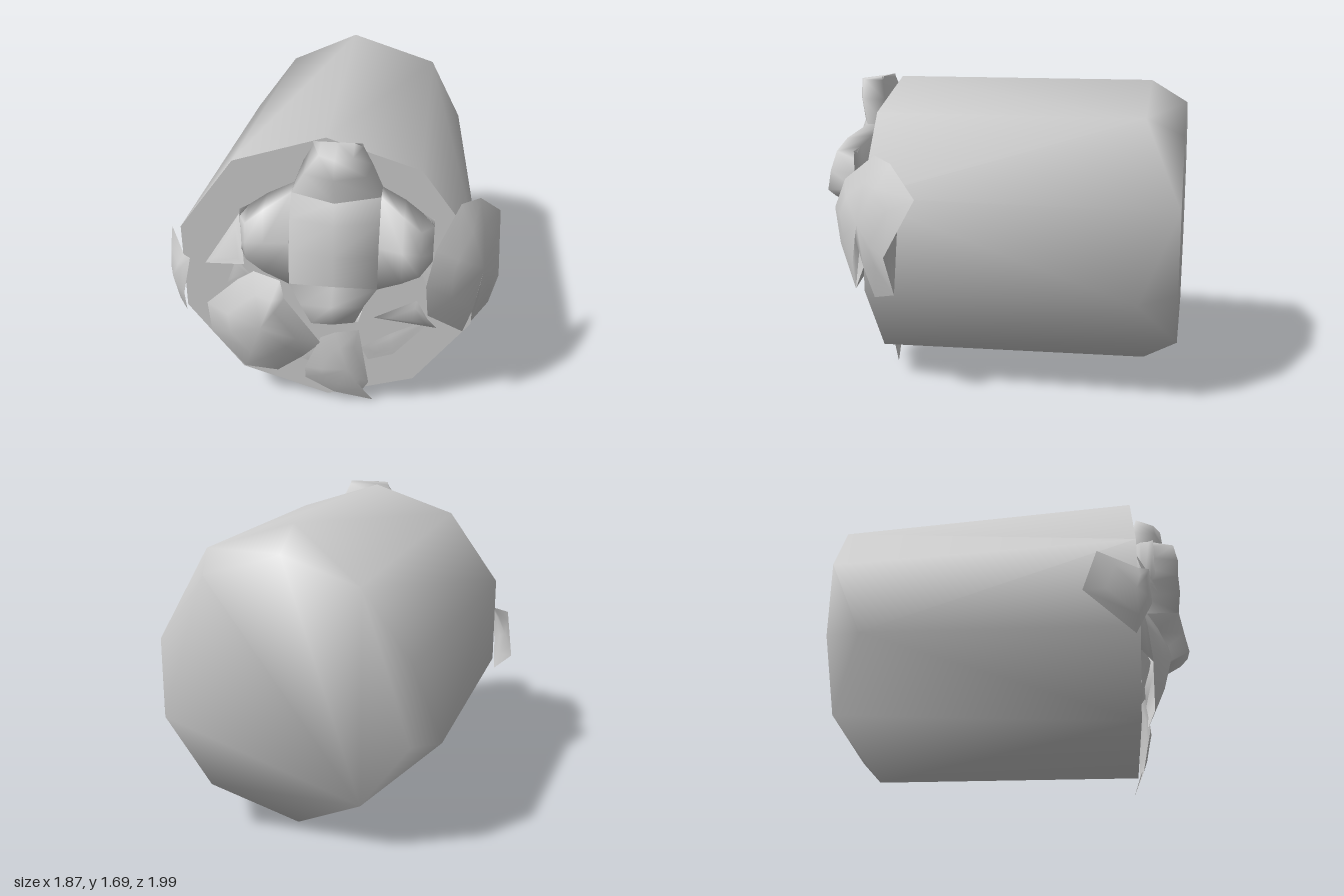
import * as THREE from 'three';
import { ConvexGeometry } from 'three/addons/geometries/ConvexGeometry.js';
import { toCreasedNormals } from 'three/addons/utils/BufferGeometryUtils.js';

const solid = new THREE.MeshStandardMaterial({ color: 0xcccccc });
const thin = new THREE.MeshStandardMaterial({ color: 0xcccccc, side: THREE.DoubleSide });

function addMesh(group, name, geometry, material) {
  const mesh = new THREE.Mesh(geometry, material);
  mesh.name = name;
  group.add(mesh);
}

function indexed(points, index) {
  const g = new THREE.BufferGeometry();
  g.setAttribute('position', new THREE.Float32BufferAttribute(points.flat(), 3));
  g.setIndex(index);
  g.computeVertexNormals();
  return g;
}

// Corners of a ten-sided ring, numbered anticlockwise from the top
function ring(radius, z, corners = [0, 1, 2, 3, 4, 5, 6, 7, 8, 9]) {
  return corners.map((i) => {
    const a = Math.PI / 2 + (i / 10) * Math.PI * 2;
    return new THREE.Vector3(0.01 + Math.cos(a) * radius, 0.86 + Math.sin(a) * radius, z);
  });
}

// Ten-sided trunk with an unevenly worn back end and a sharp front edge
function trunkGeometry() {
  const hull = new ConvexGeometry([
    ...ring(0.825, 0.655),
    ...ring(0.825, -0.8, [0, 3, 5, 7, 9]),
    ...ring(0.705, -1, [0, 1, 2, 3, 4, 6, 7, 8, 9]),
  ]);
  return toCreasedNormals(hull, 1.55);
}

// Domed leaf: raised middle, an inner ring pushed outward, then the rim
function leafGeometry(middle, rim, push = [0, 0, 0]) {
  const n = rim.length;
  const inner = rim.map((p) => p.map((v, k) => middle[k] + 0.6 * (v - middle[k]) + push[k]));
  const index = [];
  for (let i = 0; i < n; i++) {
    const a = 1 + i, b = 1 + ((i + 1) % n);
    index.push(0, a, b, a, a + n, b, b, a + n, b + n);
  }
  return indexed([middle, ...inner, ...rim], index);
}

// Closed petal from rows [along, from, to, three front depths, back depth, inset];
// sideways petals run along x, the others along y
function petalGeometry(rows, sideways) {
  const points = rows.flatMap(([u, a, b, z1, z2, z3, back, inset = 0]) =>
    [[a, back], [a + inset, z1], [(a + b) / 2, z2], [b - inset, z3], [b, back]]
      .map(([w, z]) => (sideways ? [u, w, z] : [w, u, z])));
  const index = [];
  for (let r = 0; r < rows.length - 1; r++) {
    for (let c = 0; c < 5; c++) {
      const a = r * 5 + c, b = r * 5 + ((c + 1) % 5);
      index.push(a, b, a + 5, b, b + 5, a + 5);
    }
  }
  return indexed(points, index);
}

export function createModel() {
  const model = new THREE.Group();
  addMesh(model, 'trunk', trunkGeometry(), solid);

  // Blossom: middle and four tapering petals
  const blossom = new THREE.Group();
  blossom.name = 'blossom';
  model.add(blossom);
  const L = -0.15, R = 0.3, B = 0.985, T = 1.435;
  const petals = {
    blossomMiddle: [false, [
      [T, L, R, 0.78, 0.87, 0.78, 0.67], [1.33, L, R, 0.86, 0.91, 0.86, 0.68],
      [1.16, L, R, 0.91, 0.935, 0.91, 0.7], [B, L, R, 0.93, 0.935, 0.93, 0.72]]],
    topPetal: [false, [
      [T, L, R, 0.78, 0.87, 0.78, 0.67], [1.57, -0.1, 0.25, 0.83, 0.89, 0.83, 0.69, 0.02],
      [1.675, -0.045, 0.205, 0.83, 0.88, 0.84, 0.715, 0.04],
      [1.695, -0.045, 0.2, 0.72, 0.72, 0.72, 0.72, 0.04]]],
    bottomPetal: [false, [
      [B, L, R, 0.93, 0.935, 0.93, 0.72], [0.88, -0.11, 0.25, 0.96, 0.97, 0.95, 0.78, 0.02],
      [0.79, -0.06, 0.22, 0.99, 0.99, 0.96, 0.84, 0.03],
      [0.72, -0.045, 0.2, 0.86, 0.86, 0.86, 0.86, 0.04]]],
    rightPetal: [true, [
      [L, B, T, 0.93, 0.9, 0.78, 0.67], [-0.28, 1.03, 1.39, 0.93, 0.92, 0.86, 0.72, 0.02],
      [-0.37, 1.08, 1.34, 0.915, 0.92, 0.9, 0.76, 0.03],
      [-0.42, 1.08, 1.32, 0.78, 0.78, 0.78, 0.78, 0.04]]],
    leftPetal: [true, [
      [R, B, T, 0.93, 0.9, 0.78, 0.67], [0.42, 1.02, 1.39, 0.945, 0.93, 0.86, 0.71, 0.02],
      [0.51, 1.06, 1.34, 0.95, 0.93, 0.89, 0.75, 0.03],
      [0.57, 1.07, 1.32, 0.77, 0.77, 0.77, 0.77, 0.04]]],
  };
  for (const [name, [sideways, rows]] of Object.entries(petals)) {
    addMesh(blossom, name, petalGeometry(rows, sideways), thin);
  }

  // Leaves around the rim and over the front end: middle, rim, outward push
  const largeRim = [
    [0.7, 1.325, 0.61], [0.585, 1.17, 0.82], [0.545, 1, 0.9], [0.56, 0.8, 0.87],
    [0.75, 0.6, 0.72], [0.8, 0.86, 0.67], [0.79, 0.57, 0.6], [0.89, 0.62, 0.46],
    [0.93, 0.83, 0.5], [0.92, 1.14, 0.33], [0.8, 1.3, 0.49]];
  const leaves = {
    leftLargeLeaf: [[0.84, 0.98, 0.67], largeRim, [0.012, 0, 0.016]],
    leftLargeLeafBack: [[0.8, 0.98, 0.46], largeRim],
    rightSmallLeaf: [[-0.85, 0.78, 0.64], [
      [-0.89, 0.98, 0.44], [-0.935, 0.73, 0.36], [-0.79, 0.55, 0.63],
      [-0.77, 0.73, 0.72], [-0.72, 0.96, 0.72], [-0.77, 0.94, 0.66]], [-0.005, 0, 0.01]],
    lowerRightLeaf: [[-0.33, 0.62, 0.85], [
      [-0.38, 0.895, 0.71], [-0.47, 0.83, 0.7], [-0.65, 0.66, 0.7], [-0.63, 0.48, 0.72],
      [-0.45, 0.26, 0.73], [-0.27, 0.22, 0.7], [-0.12, 0.35, 0.72], [-0.02, 0.45, 0.72],
      [-0.2, 0.8, 0.81], [-0.23, 0.88, 0.76]], [0, 0, 0.015]],
    bottomLeaf: [[0.13, 0.28, 0.73], [
      [0.19, 0.55, 0.71], [0.06, 0.53, 0.72], [-0.02, 0.49, 0.72], [-0.11, 0.28, 0.73],
      [-0.11, 0.19, 0.71], [0.05, 0.08, 0.69], [0.27, 0.003, 0.645], [0.21, 0.1, 0.68],
      [0.245, 0.16, 0.68]], [0, 0, 0.01]],
    upperRightSliver: [[-0.5, 1.05, 0.74], [
      [-0.45, 1.225, 0.67], [-0.64, 0.93, 0.71], [-0.41, 0.99, 0.79]]],
    lowerLeftSliver: [[0.48, 0.68, 0.76], [
      [0.5, 0.81, 0.76], [0.27, 0.65, 0.72], [0.61, 0.58, 0.68], [0.56, 0.68, 0.74]]],
    leftFlatSliver: [[0.37, 0.45, 0.675], [
      [0.61, 0.65, 0.67], [0.36, 0.51, 0.67], [0.2, 0.4, 0.67], [0.24, 0.31, 0.66],
      [0.38, 0.37, 0.67]]],
    rightFlatSliver: [[-0.47, 0.86, 0.68], [
      [-0.48, 0.94, 0.67], [-0.54, 0.78, 0.67], [-0.4, 0.85, 0.68]]],
    leftUprightSliver: [[0.555, 0.98, 0.78], [
      [0.54, 1.07, 0.78], [0.48, 1.05, 0.7], [0.56, 0.86, 0.75], [0.6, 0.67, 0.72],
      [0.6, 1, 0.82]]],
    bottomSliver: [[-0.12, 0.32, 0.675], [
      [-0.1, 0.39, 0.67], [-0.17, 0.31, 0.67], [-0.08, 0.27, 0.67]]],
  };
  for (const [name, [middle, rim, push]] of Object.entries(leaves)) {
    addMesh(model, name, leafGeometry(middle, rim, push), thin);
  }
  return model;
}
